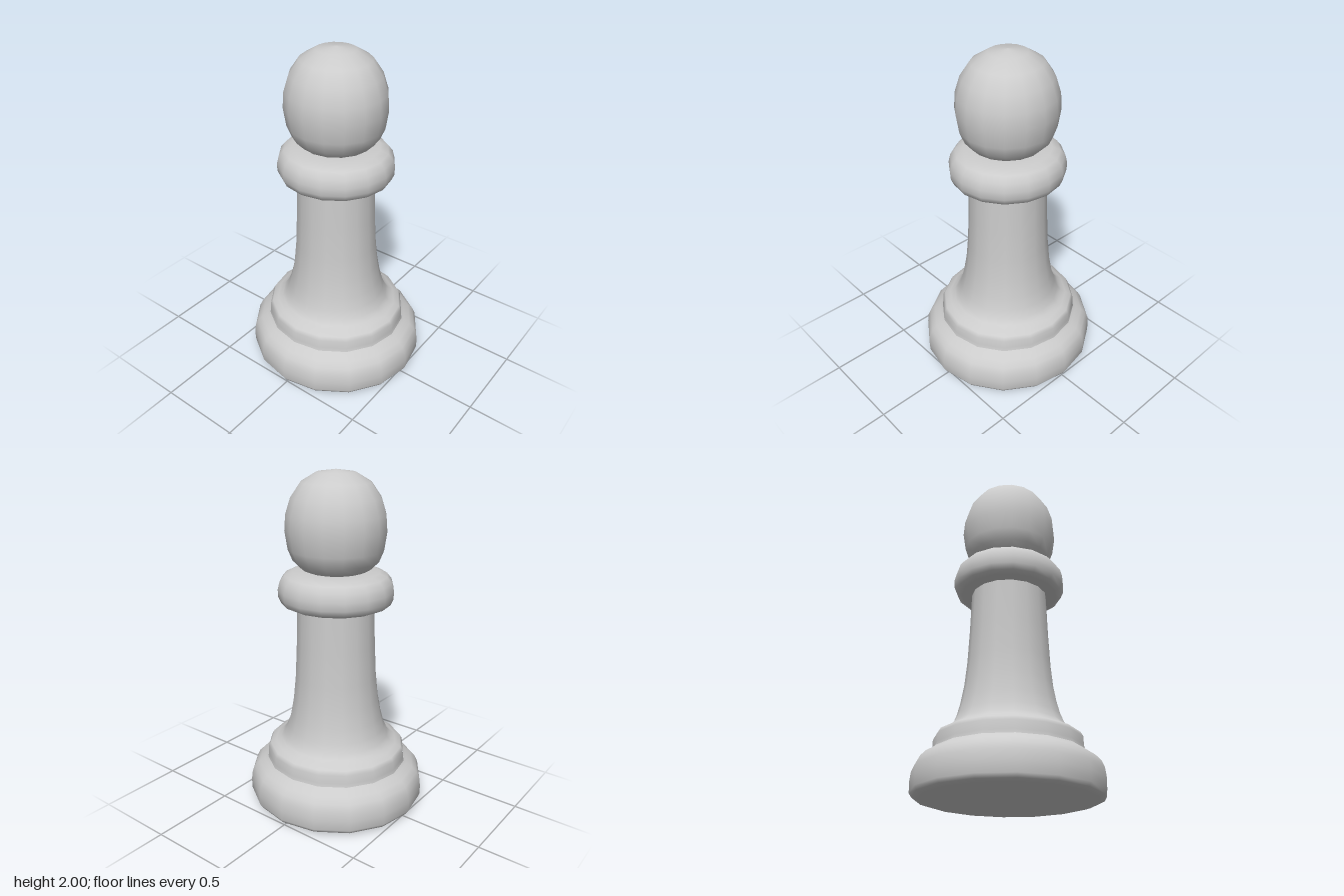
import * as THREE from 'three';

const SIDES = 16;

export function createModel() {
  const group = new THREE.Group();
  group.name = 'chessPawn';
  const material = new THREE.MeshStandardMaterial({ color: 0xcccccc });

  // Each turned part is a [radius, height] profile, listed from bottom to top
  const turn = (name, profile) => {
    const points = profile.map(([r, y]) => new THREE.Vector2(r, y));
    const mesh = new THREE.Mesh(new THREE.LatheGeometry(points, SIDES), material);
    mesh.name = name;
    group.add(mesh);
  };

  // Wide foot with a slightly bulging underside
  turn('base', [
    [0, 0.005], [0.42, 0.01], [0.49, 0.017], [0.525, 0.028], [0.538, 0.05], [0.54, 0.11],
    [0.533, 0.165], [0.515, 0.205], [0.485, 0.235], [0.45, 0.255], [0.432, 0.27],
  ]);

  // Step above the foot, flowing into the flared stem
  turn('stem', [
    [0.432, 0.265], [0.426, 0.29], [0.424, 0.34], [0.41, 0.364], [0.375, 0.38],
    [0.345, 0.397], [0.322, 0.425], [0.3, 0.475], [0.28, 0.55], [0.26, 0.66],
    [0.246, 0.8], [0.236, 1.0], [0.228, 1.25],
  ]);

  // Rounded ring under the head
  turn('collar', [
    [0.2, 1.238], [0.29, 1.24], [0.322, 1.255], [0.338, 1.29], [0.34, 1.335],
    [0.328, 1.382], [0.3, 1.416], [0.255, 1.434], [0.17, 1.443], [0, 1.443],
  ]);

  // Ball head
  turn('head', [
    [0.16, 1.435], [0.205, 1.455], [0.25, 1.5], [0.277, 1.565], [0.293, 1.67],
    [0.286, 1.76], [0.257, 1.85], [0.2, 1.932], [0.11, 1.985], [0, 2],
  ]);

  // The cross-section is slightly narrower from front to back
  group.scale.z = 0.97;
  return group;
}
